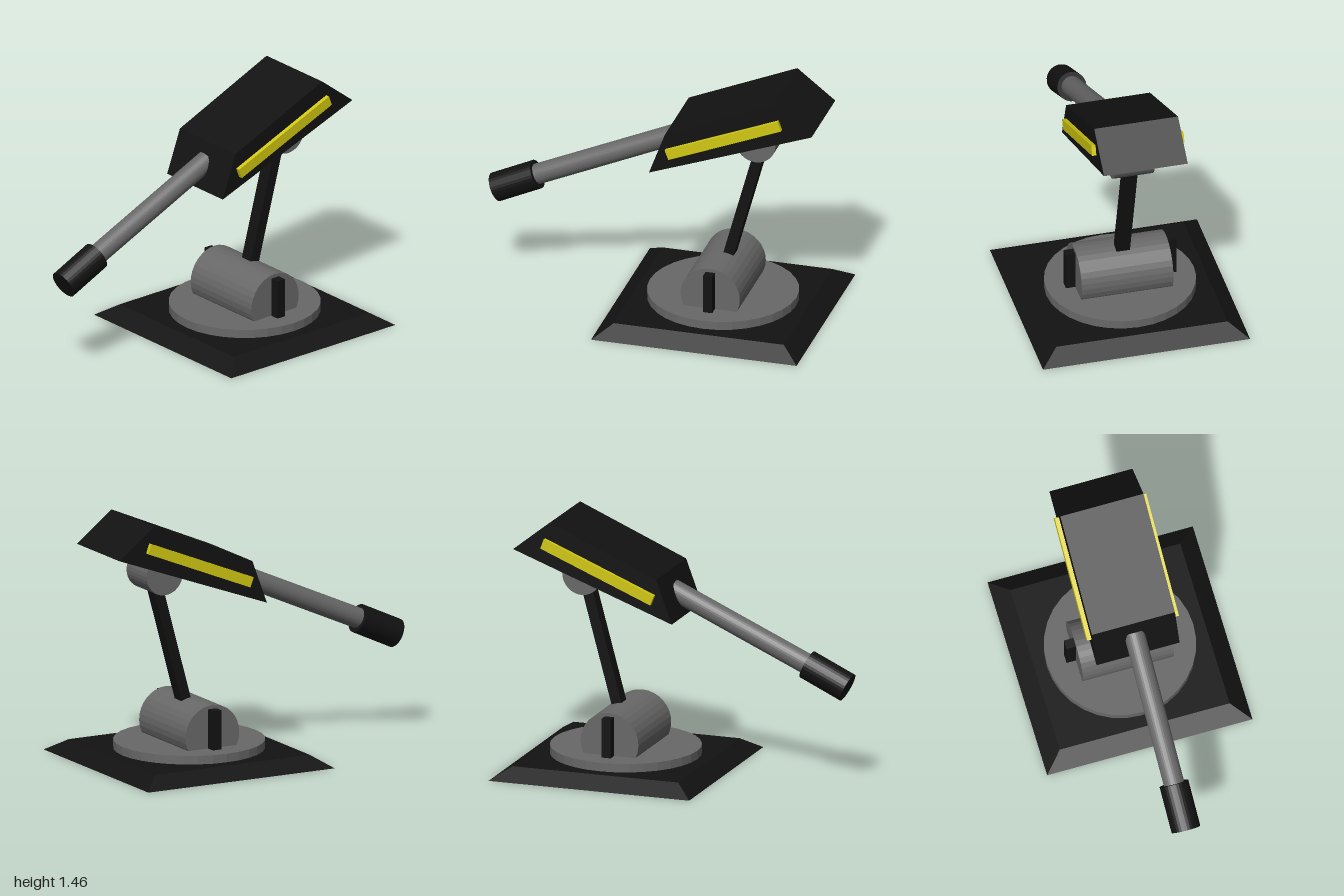
import * as THREE from 'three';

const material = (color) => new THREE.MeshStandardMaterial({ color, flatShading: true });

export function createModel() {
  const model = new THREE.Group();
  const black = material(0x121212);
  const grey = material(0x686868);
  const yellow = material(0xd2c812);
  const pivotX = 0.385;

  const add = (name, geometry, mat, x = 0, y = 0, z = 0) => {
    const mesh = new THREE.Mesh(geometry, mat);
    mesh.name = name;
    mesh.position.set(x, y, z);
    model.add(mesh);
    return mesh;
  };

  // Lays a geometry's y axis along the line between two points in the z = 0 plane
  const addBetween = (name, makeGeometry, mat, [x1, y1], [x2, y2]) => {
    const length = Math.hypot(x2 - x1, y2 - y1);
    const mesh = add(name, makeGeometry(length), mat, (x1 + x2) / 2, (y1 + y2) / 2);
    mesh.rotation.z = Math.atan2(y2 - y1, x2 - x1) - Math.PI / 2;
    return mesh;
  };

  // Extrudes a side profile in z, starting at z
  const addProfile = (name, points, mat, z, depth) => {
    const shape = new THREE.Shape(points.map(([x, y]) => new THREE.Vector2(x, y)));
    return add(name, new THREE.ExtrudeGeometry(shape, { depth, bevelEnabled: false }), mat, 0, 0, z);
  };

  // Square base plate with sloping edges
  const plate = new THREE.CylinderGeometry(0.505 * Math.SQRT2, 0.61 * Math.SQRT2, 0.07, 4);
  plate.rotateY(Math.PI / 4);
  add('basePlate', plate, black, pivotX, 0.035);

  // Turntable and horizontal drum
  add('turntable', new THREE.CylinderGeometry(0.435, 0.435, 0.05, 32), grey, pivotX, 0.095);
  const drum = new THREE.CylinderGeometry(0.176, 0.176, 0.54, 32);
  drum.rotateX(Math.PI / 2);
  add('drum', drum, grey, pivotX, 0.196);

  // Upright braces and head stripes on both sides
  const stripe = [[0.137, 1.033], [0.806, 1.306], [0.785, 1.363], [0.115, 1.09]];
  for (const side of [1, -1]) {
    const prefix = side > 0 ? 'front' : 'back';
    add(prefix + 'Brace', new THREE.BoxGeometry(0.055, 0.23, 0.057), black, pivotX, 0.235, side * 0.297);
    addProfile(prefix + 'Stripe', stripe, yellow, side > 0 ? 0.245 : -0.272, 0.027);
  }

  // Support arm and knuckle under the head
  addBetween('supportArm', (l) => new THREE.BoxGeometry(0.062, l, 0.08), black, [0.405, 0.28], [0.617, 1.06]);
  const knuckle = new THREE.CylinderGeometry(0.118, 0.118, 0.236, 32);
  knuckle.rotateX(Math.PI / 2);
  add('knuckle', knuckle, grey, 0.611, 1.128);

  // Slanted head
  addProfile('head', [[0.015, 0.925], [0.98, 1.28], [0.755, 1.456], [0.11, 1.18]], black, -0.247, 0.494);

  // Barrel and muzzle
  addBetween('barrel', (l) => new THREE.CylinderGeometry(0.06, 0.06, l, 32), grey, [-0.75, 0.684], [0.1, 1.064]);
  addBetween('muzzle', (l) => new THREE.CylinderGeometry(0.085, 0.085, l, 32), black, [-0.964, 0.582], [-0.718, 0.697]);

  return model;
}
